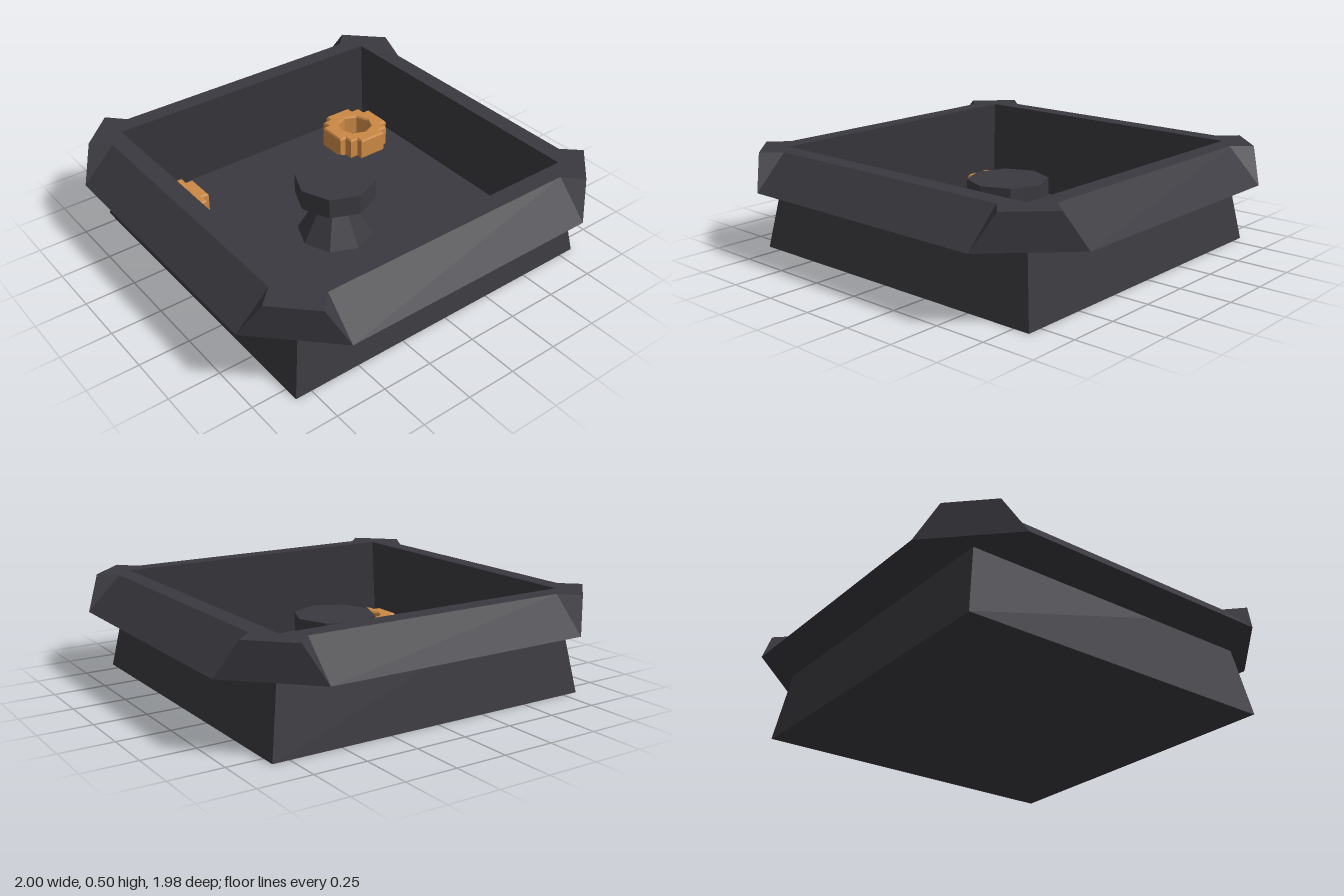
import * as THREE from 'three';

const Z = 0.99; // the tray is very slightly shorter front to back

// Builds one faceted geometry from polygons, repeated on all four sides
function fourSided(polygons) {
  const pos = [];
  for (let k = 0; k < 4; k++) {
    const c = Math.round(Math.cos(k * Math.PI / 2));
    const s = Math.round(Math.sin(k * Math.PI / 2));
    const put = ([x, y, z]) => pos.push(x * c + z * s, y, (z * c - x * s) * Z);
    for (const p of polygons) {
      for (let i = 1; i < p.length - 1; i++) [p[0], p[i], p[i + 1]].forEach(put);
    }
  }
  const geo = new THREE.BufferGeometry();
  geo.setAttribute('position', new THREE.Float32BufferAttribute(pos, 3));
  geo.computeVertexNormals();
  return geo;
}

// Stepped gear outline with an eight-sided hole
function gearGeometry() {
  const steps = [[0.155, -0.072], [0.155, 0.072], [0.118, 0.072], [0.118, 0.118], [0.072, 0.118]];
  const pts = [];
  for (let k = 0; k < 4; k++) {
    const c = Math.round(Math.cos(k * Math.PI / 2));
    const s = Math.round(Math.sin(k * Math.PI / 2));
    for (const [x, y] of steps) pts.push(new THREE.Vector2(x * c - y * s, x * s + y * c));
  }
  const shape = new THREE.Shape(pts);
  const hole = [];
  for (let i = 0; i < 8; i++) {
    const a = -i * Math.PI / 4;
    hole.push(new THREE.Vector2(Math.cos(a) * 0.097, Math.sin(a) * 0.097));
  }
  shape.holes.push(new THREE.Path(hole));
  const geo = new THREE.ExtrudeGeometry(shape, {
    depth: 0.1, bevelEnabled: true, bevelSegments: 1, bevelSize: 0.006, bevelThickness: 0.01,
  });
  geo.rotateX(-Math.PI / 2);
  geo.translate(0, 0.01, 0);
  return geo;
}

export function createModel() {
  const model = new THREE.Group();
  const darkMetal = new THREE.MeshStandardMaterial({ color: 0x3a393f, side: THREE.DoubleSide });
  darkMetal.name = 'dark metal';
  const copper = new THREE.MeshStandardMaterial({ color: 0xcb8945 });
  copper.name = 'copper';

  const add = (name, geo, mat, x = 0, y = 0, z = 0) => {
    const mesh = new THREE.Mesh(geo, mat);
    mesh.name = name;
    mesh.position.set(x, y, z);
    model.add(mesh);
    return mesh;
  };
  const facet = (rTop, rBottom, h) =>
    new THREE.CylinderGeometry(rTop, rBottom, h, 8).toNonIndexed();

  // Leaning thin walls of the tray
  const lip = 0.745, foot = 0.83, top = 0.5, low = 0.335;
  add('trayWalls', fourSided([
    [[-foot, 0, foot], [foot, 0, foot], [lip, top, lip], [-lip, top, lip]],
  ]), darkMetal);

  // Tray floor
  add('trayFloor', new THREE.BoxGeometry(1.652, 0.008, 1.652 * Z), darkMetal, 0, 0.004, 0);

  // Rim: sloped bars with upright cut corners
  const m = 0.774;
  const A = [0.665, low, 1], A2 = [-0.665, low, 1];
  const C = [0.665, top, 0.835], C2 = [-0.665, top, 0.835];
  const B = [0.745, top, 0.92], B2 = [-0.745, top, 0.92];
  const D = [1, low, 0.665], E = [0.92, top, 0.745], F = [0.835, top, 0.665];
  const I = [lip, top, lip], I2 = [-lip, top, lip];
  const J = [m, low, m], J2 = [-m, low, m];
  add('rim', fourSided([
    [A2, A, C, C2],   // slope
    [A, B, C],        // slope ends
    [A2, C2, B2],
    [A, D, E, B],     // corner face
    [C2, C, I, I2],   // top
    [I, C, B, E, F],  // corner top
    [A2, J2, J, A],   // underside
    [J, D, A],
  ]), darkMetal);

  // Centre post
  const pedestal = facet(0.067, 0.19, 0.22);
  const head = facet(0.2, 0.2, 0.105);
  for (const g of [pedestal, head]) g.computeVertexNormals();
  add('postPedestal', pedestal, darkMetal, 0, 0.118, 0);
  add('postHead', head, darkMetal, 0, 0.275, 0);

  // Gears in the four corners
  const gear = gearGeometry();
  for (const x of [-1, 1]) {
    for (const z of [-1, 1]) add('gear', gear, copper, x * 0.583, 0.006, z * 0.583);
  }
  return model;
}
